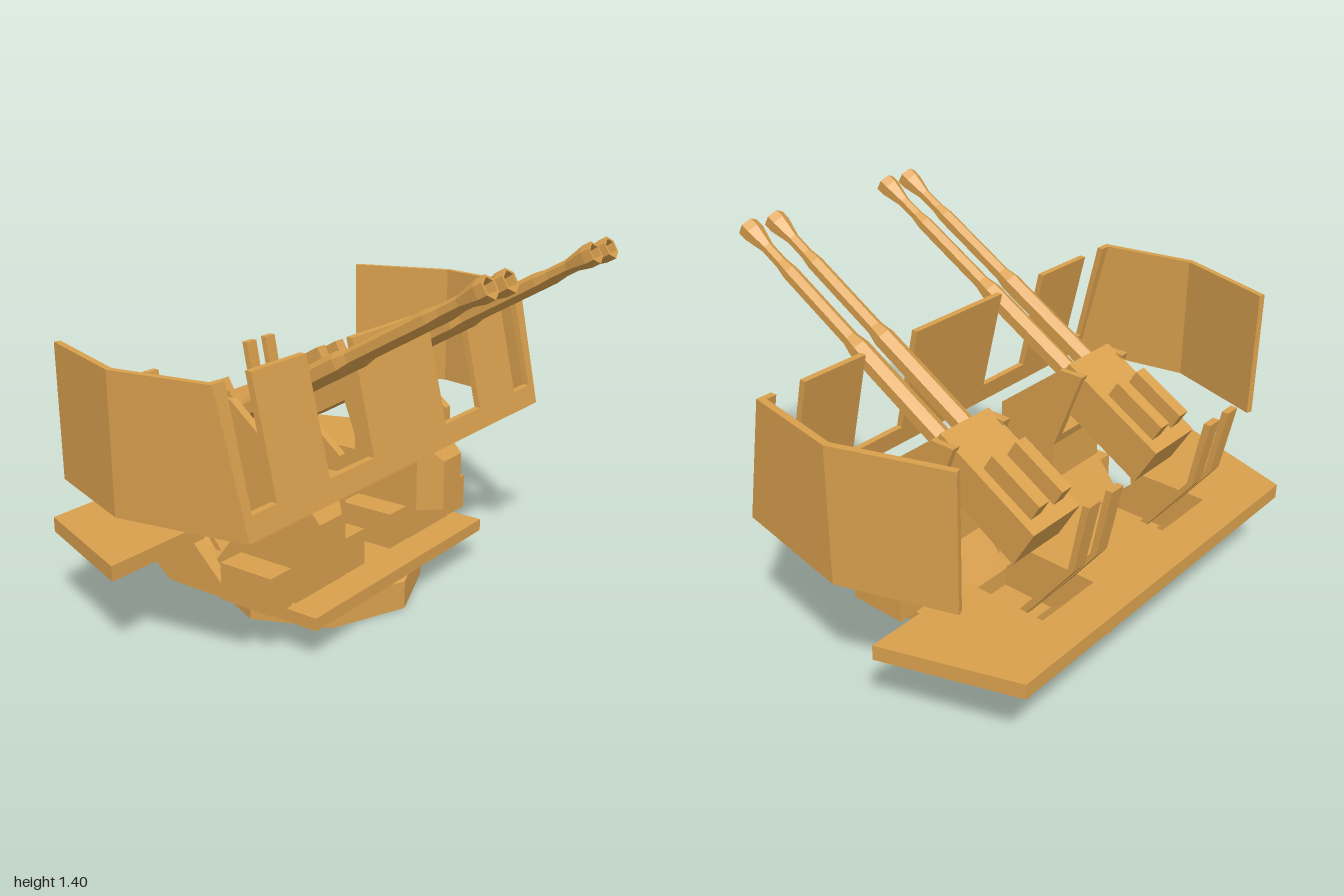
import * as THREE from 'three';

const material = new THREE.MeshStandardMaterial({ color: 0xd9a04e, flatShading: true, side: THREE.DoubleSide });

function add(parent, name, geometry) {
  const mesh = new THREE.Mesh(geometry, material);
  mesh.name = name;
  parent.add(mesh);
  return mesh;
}

function extrude(points, depth) {
  const shape = new THREE.Shape(points.map(([a, b]) => new THREE.Vector2(a, b)));
  return new THREE.ExtrudeGeometry(shape, { depth, bevelEnabled: false });
}

// Side profile of [z, y] points, swept across x0..x1
function profileX(points, x0, x1) {
  return extrude(points, x1 - x0).rotateY(-Math.PI / 2).translate(x1, 0, 0);
}

// Floor plan of [x, z] points, raised from y0 to y1
function planY(points, y0, y1) {
  return extrude(points.map(([x, z]) => [x, -z]), y1 - y0).rotateX(-Math.PI / 2).translate(0, y0, 0);
}

function box(x0, x1, y0, y1, z0, z1) {
  return new THREE.BoxGeometry(x1 - x0, y1 - y0, z1 - z0)
    .translate((x0 + x1) / 2, (y0 + y1) / 2, (z0 + z1) / 2);
}

// Moves each vertex by a rule
function reshape(geometry, rule) {
  const p = geometry.attributes.position;
  const v = new THREE.Vector3();
  for (let i = 0; i < p.count; i++) {
    rule(v.fromBufferAttribute(p, i));
    p.setXYZ(i, v.x, v.y, v.z);
  }
  geometry.computeVertexNormals();
  return geometry;
}

const mirrorPoints = (points) => [...points, ...points.map(([x, b]) => [-x, b]).reverse()];

const SHIELD_BOTTOM = 0.592, SHIELD_TOP = 1.083;
const lean = (y) => 0.112 * (y - SHIELD_BOTTOM) / (SHIELD_TOP - SHIELD_BOTTOM);

function buildBase(root) {
  // Hollow octagonal ring with a shallow sloping shoulder
  const ring = [[0.41, 0], [0.41, 0.11], [0.32, 0.133]].map(([r, y]) => new THREE.Vector2(r, y));
  add(root, 'baseRing', new THREE.LatheGeometry(ring, 8).translate(0, 0, -0.18));

  // Platform rising at the back, with a pit behind each gun
  const full = [[0.232, 0.132], [0.232, 0.18], [-0.19, 0.18], [-0.33, 0.315], [-0.69, 0.315], [-0.455, 0.132]];
  const pit = [[0.232, 0.132], [0.232, 0.18], [-0.47, 0.18], [-0.65, 0.315], [-0.69, 0.315], [-0.455, 0.132]];
  [[-0.54, -0.49, full], [-0.49, -0.21, pit], [-0.21, 0.21, full], [0.21, 0.49, pit], [0.49, 0.54, full]]
    .forEach(([x0, x1, profile]) => add(root, 'platform', profileX(profile, x0, x1)));

  // Rear deck, notched over the pits
  const deck = mirrorPoints([[0.21, -0.32], [0.21, -0.65], [0.49, -0.65], [0.49, -0.32], [0.94, -0.32], [0.77, -0.808]]);
  add(root, 'rearDeck', planY(deck, 0.315, 0.372));
}

function buildShield(root) {
  // Front plate with gun slots and viewing gaps, leaning back
  const t = SHIELD_TOP, b = SHIELD_BOTTOM, sill = 0.672;
  const outline = mirrorPoints([
    [0.23, t], [0.23, sill], [0.48, sill], [0.48, t], [0.75, t], [0.75, sill],
    [0.87, sill], [0.87, t], [0.925, t], [0.905, b],
  ]);
  const front = extrude(outline, 0.025).translate(0, 0, 0.243);
  add(root, 'frontShield', reshape(front, (v) => { v.z -= lean(v.y); }));

  // Folded side plates whose front edge follows the lean
  for (const s of [1, -1]) {
    const plan = [[0.91, 0.268], [0.997, -0.22], [0.86, -0.62], [0.838, -0.612], [0.972, -0.22], [0.885, 0.263]];
    const side = planY(plan.map(([x, z]) => [s * x, z]), b, t);
    add(root, 'sideShield', reshape(side, (v) => {
      if (v.z > 0) {
        v.z -= lean(v.y);
        v.x += s * 0.18 * lean(v.y);
      }
    }));
  }
}

function buildMount(root, s) {
  const mount = new THREE.Group();
  mount.name = 'gunMount';
  mount.position.x = s * 0.348;
  root.add(mount);

  // Pedestal body and the two cheeks that carry the gun
  const lower = [[-0.26, 0.18], [-0.26, 0.25], [-0.15, 0.39], [-0.15, 0.55]];
  add(mount, 'pedestal', profileX([...lower, [-0.165, 0.59], [0.105, 0.59], [0.105, 0.18]], -0.112, 0.112));
  const cheek = [...lower, [-0.27, 0.87], [-0.17, 0.87], [0.105, 0.65], [0.105, 0.18]];
  for (const x of [-0.145, 0.112]) add(mount, 'cheek', profileX(cheek, x, x + 0.033));

  // Front housing, chamfered on top and on the inner side
  const plan = [[0.107, 0.1], [0.107, 0.185], [-0.018, 0.185], [-0.093, 0.1]];
  const housing = planY(plan.map(([x, z]) => [s * x, z]), 0.28, 0.575);
  add(mount, 'frontHousing', reshape(housing, (v) => {
    if (v.y > 0.5 && v.z > 0.15) v.y = 0.48;
  }));

  // Twin gun raised by thirty degrees
  const gun = new THREE.Group();
  gun.name = 'twinGun';
  gun.rotation.x = -Math.PI / 6;
  mount.add(gun);
  add(gun, 'breech', box(-0.122, 0.122, 0.7, 0.87, -0.18, 0.28));

  const barrel = [
    [0, 0.26], [0.04, 0.26], [0.04, 0.73], [0.03, 0.78], [0.03, 1.12], [0.023, 1.17],
    [0.023, 1.25], [0.041, 1.33], [0.041, 1.365], [0.032, 1.365], [0.02, 1.29], [0, 1.29],
  ].map(([r, y]) => new THREE.Vector2(r, y));
  // Bent uprights standing in the pit behind the gun
  const upright = [
    [-0.4, 0.18], [-0.55, 0.372], [-0.705, 0.57], [-0.752, 0.828],
    [-0.778, 0.828], [-0.728, 0.57], [-0.58, 0.372], [-0.43, 0.18],
  ];
  for (const x of [-0.06, 0.06]) {
    add(gun, 'barrel', new THREE.LatheGeometry(barrel, 6).rotateX(Math.PI / 2).translate(x, 0.79, 0));
    add(gun, 'magazine', box(x - 0.025, x + 0.025, 0.86, 0.94, -0.13, 0.1));
    add(mount, 'bentUpright', profileX(upright, x - 0.03, x + 0.03));
  }
}

export function createModel() {
  const root = new THREE.Group();
  root.name = 'gunTurret';
  buildBase(root);
  buildShield(root);
  for (const s of [1, -1]) {
    buildMount(root, s);
    // Equipment boxes on both sides of each pedestal
    for (const x of [0.137, 0.565]) {
      add(root, 'equipmentBox', box(s * x - 0.054, s * x + 0.054, 0.18, 0.32, -0.125, 0.103));
    }
  }
  return root;
}
